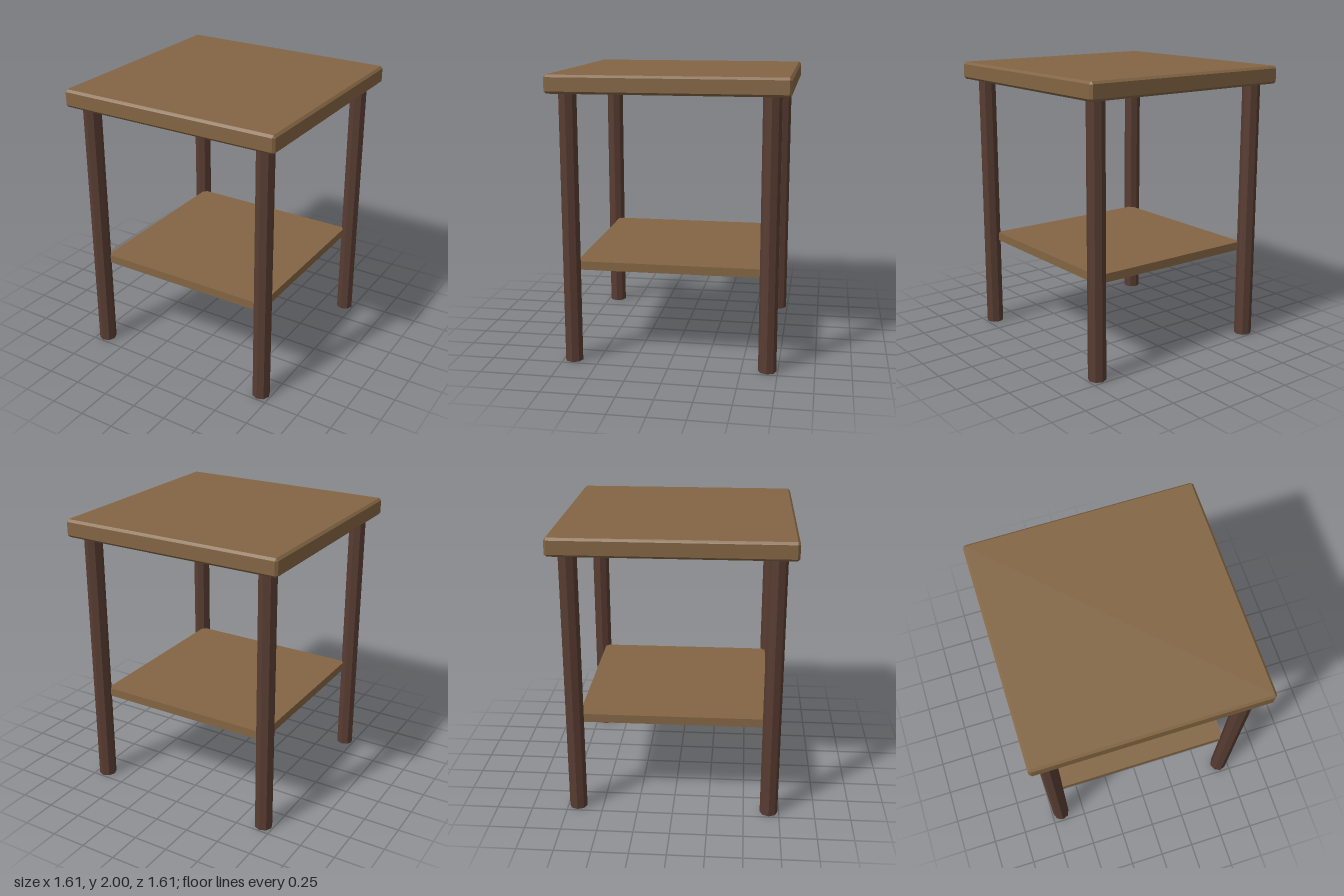
import * as THREE from 'three';
import { ConvexGeometry } from 'three/addons/geometries/ConvexGeometry.js';

// Box with every edge chamfered, as the hull of its 24 corner points
function chamferBox(w, h, d, c) {
  const points = [];
  for (const sx of [-1, 1]) for (const sy of [-1, 1]) for (const sz of [-1, 1]) {
    for (let axis = 0; axis < 3; axis++) {
      const inset = [c, c, c];
      inset[axis] = 0;
      points.push(new THREE.Vector3(
        sx * (w / 2 - inset[0]), sy * (h / 2 - inset[1]), sz * (d / 2 - inset[2])));
    }
  }
  return new ConvexGeometry(points);
}

export function createModel() {
  const wood = new THREE.MeshStandardMaterial({ color: 0x836543 });
  wood.name = 'wood';
  const darkWood = new THREE.MeshStandardMaterial({ color: 0x573c31 });
  darkWood.name = 'darkWood';
  wood.flatShading = darkWood.flatShading = true;

  const table = new THREE.Group();
  table.name = 'sideTable';
  const add = (name, geometry, material, x, y, z) => {
    const mesh = new THREE.Mesh(geometry, material);
    mesh.name = name;
    mesh.position.set(x, y, z);
    table.add(mesh);
  };

  // Thick chamfered top
  add('tableTop', chamferBox(1.61, 0.124, 1.61, 0.016), wood, 0, 1.938, 0);

  // Thin lower shelf, its corners let into the legs
  add('shelf', new THREE.BoxGeometry(1.3, 0.06, 1.3), wood, 0, 0.68, 0);

  // Four faceted legs
  const leg = new THREE.CylinderGeometry(0.0625, 0.0625, 1.88, 8);
  for (const [zName, z] of [['front', 0.678], ['back', -0.678]]) {
    for (const [xName, x] of [['Left', 0.678], ['Right', -0.678]]) {
      add(`${zName}${xName}Leg`, leg, darkWood, x, 0.94, z);
    }
  }
  return table;
}
